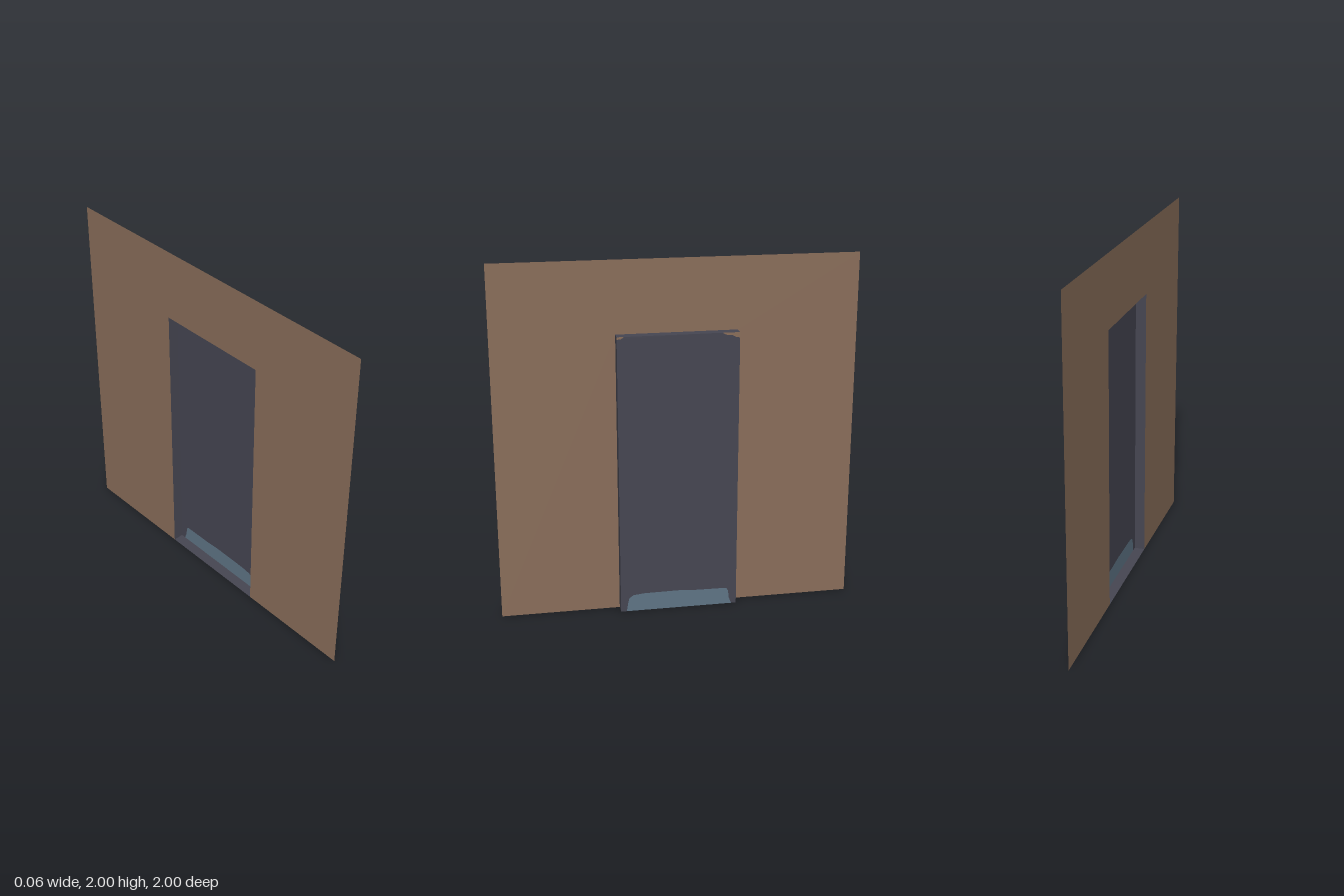
import * as THREE from 'three';

const mat = (name, color) => {
  const m = new THREE.MeshStandardMaterial({ color, side: THREE.DoubleSide });
  m.name = name;
  return m;
};

export function createModel() {
  const brown = mat('wallBrown', 0x8a6e5a);
  const slate = mat('doorSlate', 0x464652);
  const blue = mat('patchBlue', 0x5f7586);

  const group = new THREE.Group();
  group.name = 'wallWithDoorRecess';
  const W = 0.333, H = 1.6, D = 0.03; // recess half width, height, half depth

  const add = (name, geometry, material) => {
    const mesh = new THREE.Mesh(geometry, material);
    mesh.name = name;
    group.add(mesh);
    return mesh;
  };
  // Flat sheet outlined in (z, y), standing at a given x
  const sheet = (name, points, x, material) => {
    const shape = new THREE.Shape(points.map(([z, y]) => new THREE.Vector2(z, y)));
    return add(name, new THREE.ShapeGeometry(shape).rotateY(-Math.PI / 2).translate(x, 0, 0), material);
  };

  // Wall sheet with a doorway cut up from its lower edge
  sheet('wall', [[-1, 0], [-W, 0], [-W, H], [W, H], [W, 0], [1, 0], [1, 2], [-1, 2]], -D, brown);

  // Door panel and the irregular patches that interlock with its edge
  const patch = [[-0.305, 0], [-0.29, 0.04], [-0.287, 0.08], [-0.275, 0.098], [-0.1, 0.1],
    [0, 0.106], [0.2, 0.104], [0.26, 0.097], [0.285, 0.08], [0.294, 0.04], [0.3, 0]];
  const frontChip = [[W, 1.586], [0.31, 1.588], [0.295, H]];
  const backChip = [[-0.235, H], [-0.26, 1.588], [-0.29, 1.585], [-0.31, 1.575], [-W, 1.57]];
  sheet('doorPanel', [[-W, 0], ...patch, [W, 0], ...frontChip, ...backChip], D, slate);
  sheet('lowerPatch', patch, D, blue);
  sheet('frontCornerChip', [...frontChip, [W, H]], D, brown);
  sheet('backCornerChip', [...backChip, [-W, H]], D, brown);

  // Reveals joining the wall to the panel
  for (const [name, s] of [['frontJamb', 1], ['backJamb', -1]]) {
    const g = new THREE.PlaneGeometry(2 * D, H);
    if (s < 0) g.rotateY(Math.PI);
    add(name, g.translate(0, H / 2, s * W), slate);
  }
  add('lintel', new THREE.PlaneGeometry(2 * D, 2 * W).rotateX(-Math.PI / 2).translate(0, H, 0), slate);
  add('threshold', new THREE.PlaneGeometry(2 * D, 2 * W).rotateX(Math.PI / 2), slate);

  return group;
}
